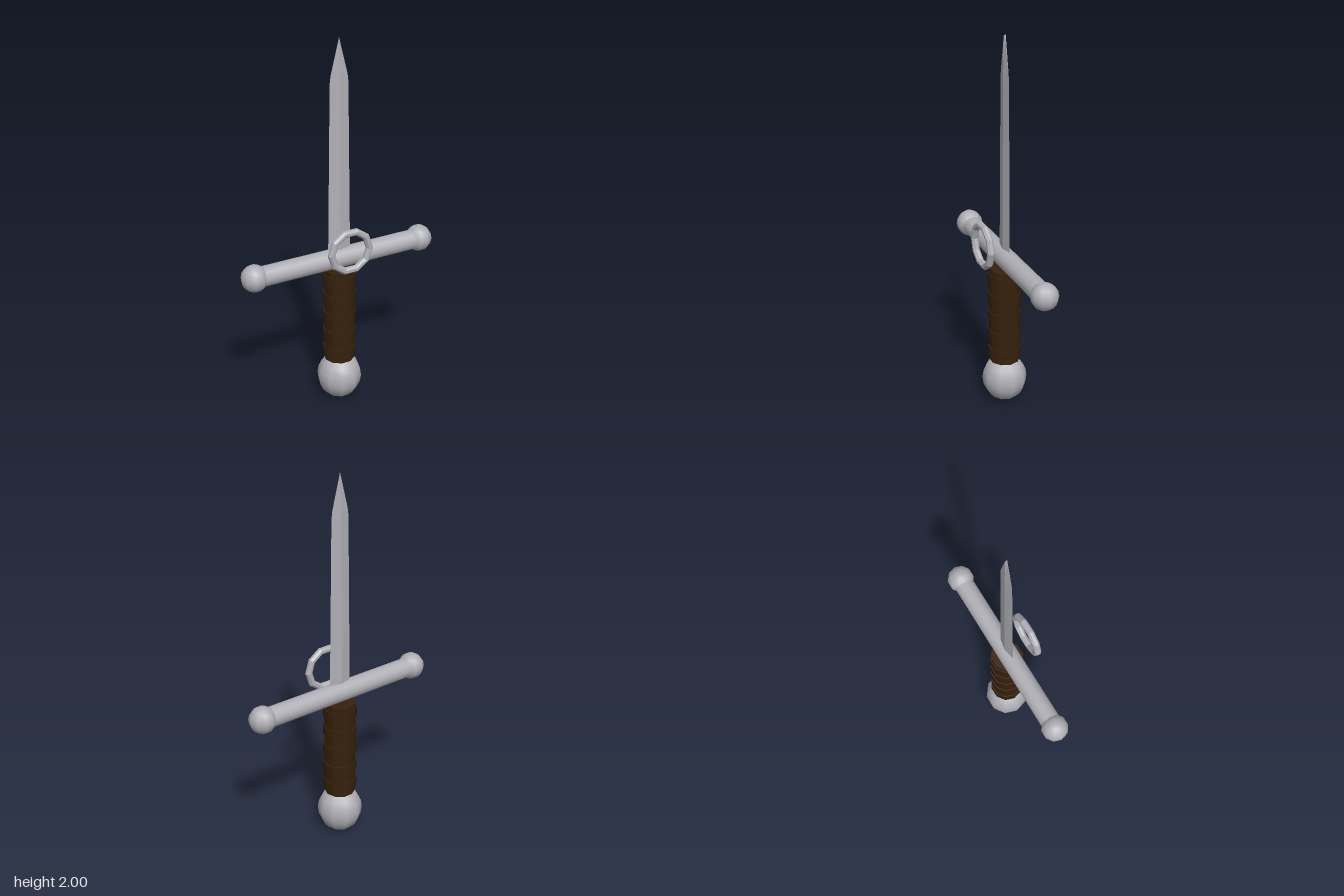
import * as THREE from 'three';

const SIDES = 10;
const AXIS_Z = -0.014; // the dagger sits slightly behind centre, the ring in front

// Unshared corners give flat facets
function faceted(geometry) {
  const flat = geometry.toNonIndexed();
  flat.computeVertexNormals();
  return flat;
}

export function createModel() {
  const steel = new THREE.MeshStandardMaterial({ color: 0xb0afb6 });
  steel.name = 'steel';
  const leather = new THREE.MeshStandardMaterial({ color: 0x36200c });
  leather.name = 'brown leather';

  const model = new THREE.Group();
  model.name = 'dagger';

  function add(name, geometry, material, x, y, z = AXIS_Z) {
    const mesh = new THREE.Mesh(geometry, material);
    mesh.name = name;
    mesh.position.set(x, y, z);
    model.add(mesh);
  }

  // Pommel, slightly taller than wide
  const pommel = new THREE.SphereGeometry(0.119, SIDES, 10);
  pommel.scale(1, 1.093, 1);
  add('pommel', pommel, steel, 0, 0.13);

  // Grip core; rotated so that corners point along x
  const core = new THREE.CylinderGeometry(0.081, 0.081, 0.535, SIDES);
  core.rotateY(Math.PI / 2);
  add('grip', core, leather, 0, 0.51);

  // Raised leather bands
  for (let i = 0; i < 5; i++) {
    const band = new THREE.CylinderGeometry(0.088, 0.088, 0.05, SIDES);
    band.rotateY(Math.PI / 2);
    add('gripBand', band, leather, 0, 0.296 + i * 0.1075);
  }

  // Crossguard with a ball on each end
  const bar = new THREE.CylinderGeometry(0.053, 0.053, 0.94, 16);
  bar.rotateZ(Math.PI / 2);
  add('crossguard', bar, steel, 0, 0.837);
  for (const side of [-1, 1]) {
    add(side > 0 ? 'leftGuardBall' : 'rightGuardBall',
      new THREE.SphereGeometry(0.071, SIDES, 8), steel, side * 0.477, 0.838);
  }

  // Ten-sided ring in front of the guard, with an octagonal section
  const ringProfile = [];
  for (let i = 0; i <= 8; i++) {
    const a = (i + 0.5) * Math.PI / 4;
    ringProfile.push(new THREE.Vector2(0.108 + 0.019 * Math.cos(a), 0.019 * Math.sin(a)));
  }
  const ring = new THREE.LatheGeometry(ringProfile, SIDES);
  ring.rotateY(Math.PI / 2);
  ring.rotateX(Math.PI / 2);
  add('guardRing', faceted(ring), steel, 0, 0.926, 0.107);

  // Blade: diamond cross-sections [y, half width, half thickness]
  const sections = [[0.84, 0.064, 0.013], [1.78, 0.051, 0.009], [1.82, 0.046, 0.008], [2.0, 0.001, 0.005]];
  const corners = sections.map(([y, w, t]) => [[w, y, 0], [0, y, t], [-w, y, 0], [0, y, -t]]);
  const positions = [];
  const quad = (a, b, c, d) => positions.push(...a, ...b, ...c, ...a, ...c, ...d);
  for (let s = 0; s < corners.length - 1; s++) {
    for (let i = 0; i < 4; i++) {
      const j = (i + 1) % 4;
      quad(corners[s][j], corners[s][i], corners[s + 1][i], corners[s + 1][j]);
    }
  }
  // End caps
  const tip = corners[corners.length - 1];
  quad(tip[3], tip[2], tip[1], tip[0]);
  quad(...corners[0]);
  const blade = new THREE.BufferGeometry();
  blade.setAttribute('position', new THREE.Float32BufferAttribute(positions, 3));
  blade.computeVertexNormals();
  add('blade', blade, steel, 0, 0);

  return model;
}
